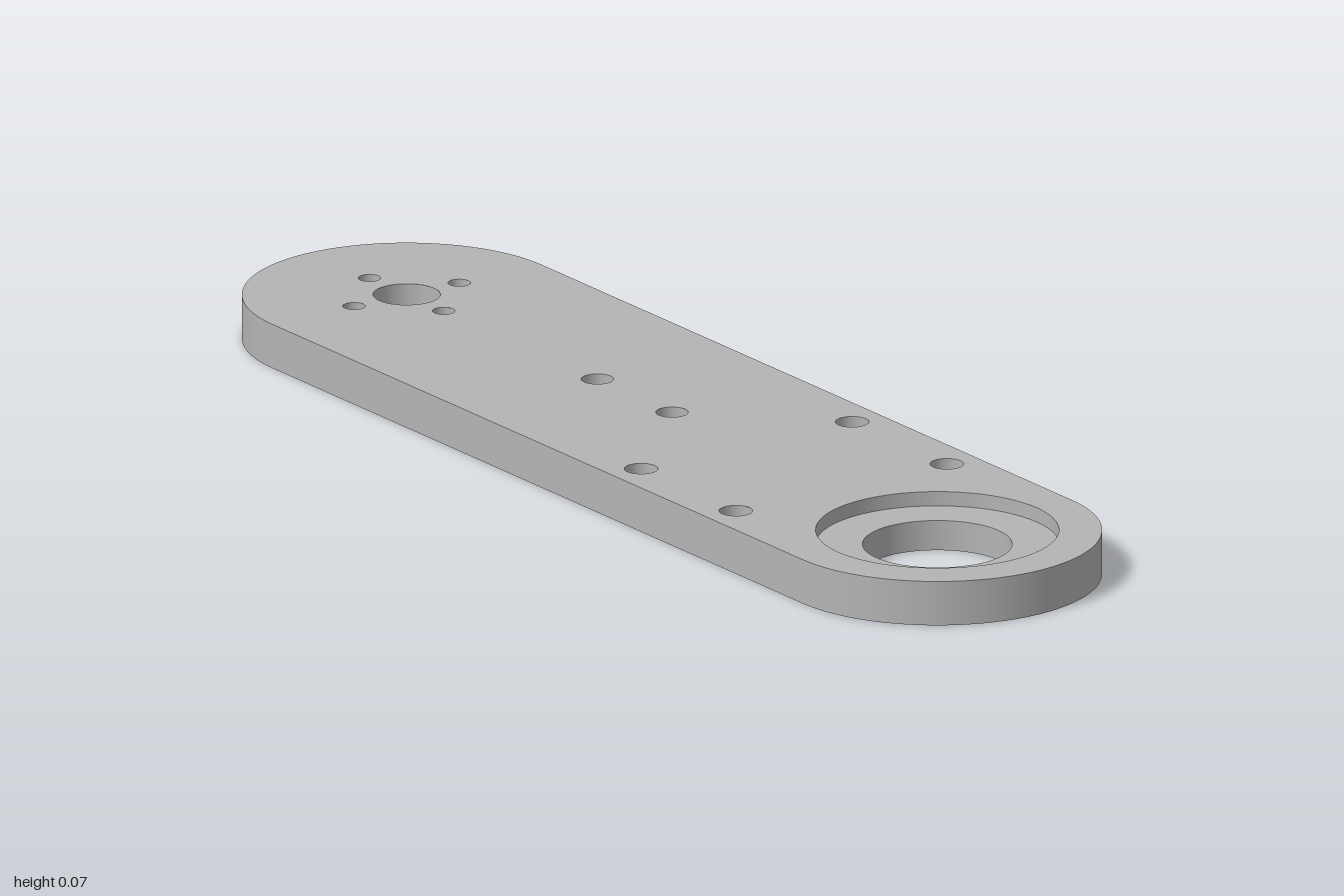
import * as THREE from 'three';

const H = 0.074, R = 0.264, CX = 0.736;       // plate thickness, end radius, end centres
const RECESS_R = 0.195, DEPTH = 0.024;        // shallow round pockets
const BORE_R = 0.12, HUB_R = 0.054;

export function createModel() {
  const model = new THREE.Group();
  model.name = 'linkArm';
  const metal = new THREE.MeshStandardMaterial({ color: 0xb4b4b4 });
  metal.name = 'grey metal';

  const add = (name, geometry, x = 0, y = 0, z = 0) => {
    const mesh = new THREE.Mesh(geometry, metal);
    mesh.name = name;
    mesh.position.set(x, y, z);
    model.add(mesh);
    return mesh;
  };

  // Round wall from y0 to y1: rising faces outward, falling faces inward
  const wall = (name, x, z, r, y0, y1, start = 0, sweep = Math.PI * 2) =>
    add(name, new THREE.LatheGeometry(
      [new THREE.Vector2(r, y0), new THREE.Vector2(r, y1)], r > 0.1 ? 64 : 32, start, sweep), x, 0, z);

  const disc = (x, z, r) => new THREE.Path().absarc(x, z, r, 0, Math.PI * 2, true);

  // Flat face with round holes, looking up or down
  const face = (name, shape, holes, y, up) => {
    shape.holes = holes.map(([x, z, r]) => disc(x, z, r));
    const geometry = new THREE.ShapeGeometry(shape, 32);
    geometry.rotateX(up ? -Math.PI / 2 : Math.PI / 2);
    return add(name, geometry, 0, y, 0);
  };

  const outline = () => new THREE.Shape()
    .absarc(CX, 0, R, -Math.PI / 2, Math.PI / 2, false)
    .absarc(-CX, 0, R, Math.PI / 2, Math.PI * 1.5, false);
  const round = (x, r) => new THREE.Shape().absarc(x, 0, r, 0, Math.PI * 2, false);

  // Hole layout as [x, z, radius]
  const boltHoles = [[-0.207, 0, 0.026], [0, 0, 0.026]];
  for (const x of [0.207, 0.47]) for (const z of [-0.207, 0.207]) boltHoles.push([x, z, 0.027]);
  const hubHoles = [[-CX, 0, HUB_R]];
  for (let i = 0; i < 4; i++) {
    const a = i * Math.PI / 2;
    hubHoles.push([-CX + 0.103 * Math.cos(a), 0.103 * Math.sin(a), 0.018]);
  }

  // Top and bottom faces
  face('topFace', outline(), [...boltHoles, ...hubHoles, [CX, 0, RECESS_R]], H, true);
  face('bottomFace', outline(), [...boltHoles, [CX, 0, BORE_R], [-CX, 0, RECESS_R]], 0, false);

  // Outer rim: two round ends and two straight sides
  wall('rightEnd', -CX, 0, R, 0, H, Math.PI, Math.PI);
  wall('leftEnd', CX, 0, R, 0, H, 0, Math.PI);
  for (const s of [1, -1]) {
    const side = add(s > 0 ? 'frontSide' : 'backSide', new THREE.PlaneGeometry(CX * 2, H), 0, H / 2, s * R);
    if (s < 0) side.rotation.y = Math.PI;
  }

  // Bearing seat, open upward
  face('bearingSeat', round(CX, RECESS_R), [[CX, 0, BORE_R]], H - DEPTH, true);
  wall('bearingSeatWall', CX, 0, RECESS_R, H, H - DEPTH);
  wall('bearingBore', CX, 0, BORE_R, H - DEPTH, 0);

  // Hub pocket, open downward
  face('hubPocket', round(-CX, RECESS_R), hubHoles, DEPTH, false);
  wall('hubPocketWall', -CX, 0, RECESS_R, DEPTH, 0);
  for (const [x, z, r] of hubHoles) wall('hubHole', x, z, r, H, DEPTH);

  // Through holes for bolts
  for (const [x, z, r] of boltHoles) wall('boltHole', x, z, r, H, 0);

  return model;
}
